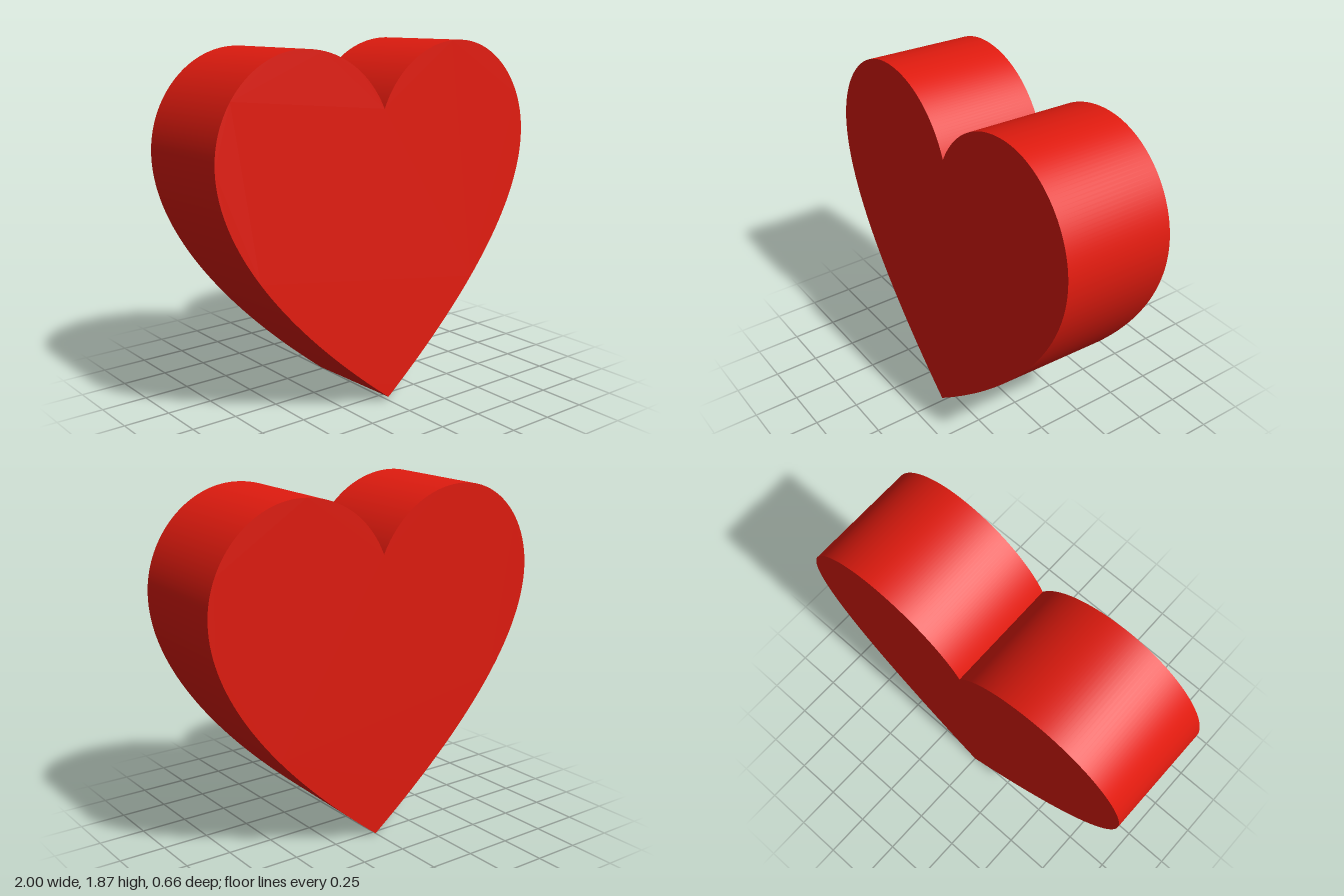
import * as THREE from 'three';
import { toCreasedNormals } from 'three/addons/utils/BufferGeometryUtils.js';

const DEPTH = 0.6;
const TILT = -0.0323; // leans slightly backwards

// Heart outline, counter-clockwise from the lower tip
function heartShape() {
  const s = new THREE.Shape();
  s.moveTo(0, 0);
  s.bezierCurveTo(0.45, 0.35, 1, 0.87, 1, 1.335);
  s.bezierCurveTo(1, 1.62, 0.776, 1.856, 0.5, 1.856);
  s.bezierCurveTo(0.28, 1.856, 0.09, 1.73, 0, 1.535);
  s.bezierCurveTo(-0.09, 1.73, -0.28, 1.856, -0.5, 1.856);
  s.bezierCurveTo(-0.776, 1.856, -1, 1.62, -1, 1.335);
  s.bezierCurveTo(-1, 0.87, -0.45, 0.35, 0, 0);
  return s;
}

export function createModel() {
  const group = new THREE.Group();
  group.name = 'heartModel';

  // Thick slab with smooth sides and sharp rims
  const slab = new THREE.ExtrudeGeometry(heartShape(), {
    depth: DEPTH, bevelEnabled: false, curveSegments: 40,
  });
  slab.translate(0, 0, -DEPTH / 2);
  const heart = new THREE.Mesh(
    toCreasedNormals(slab, 0.5),
    new THREE.MeshStandardMaterial({ color: 0xe01b0f }),
  );
  heart.name = 'heart';
  heart.rotation.x = TILT;
  heart.position.set(0, 0.01, 0.03);
  group.add(heart);
  return group;
}
